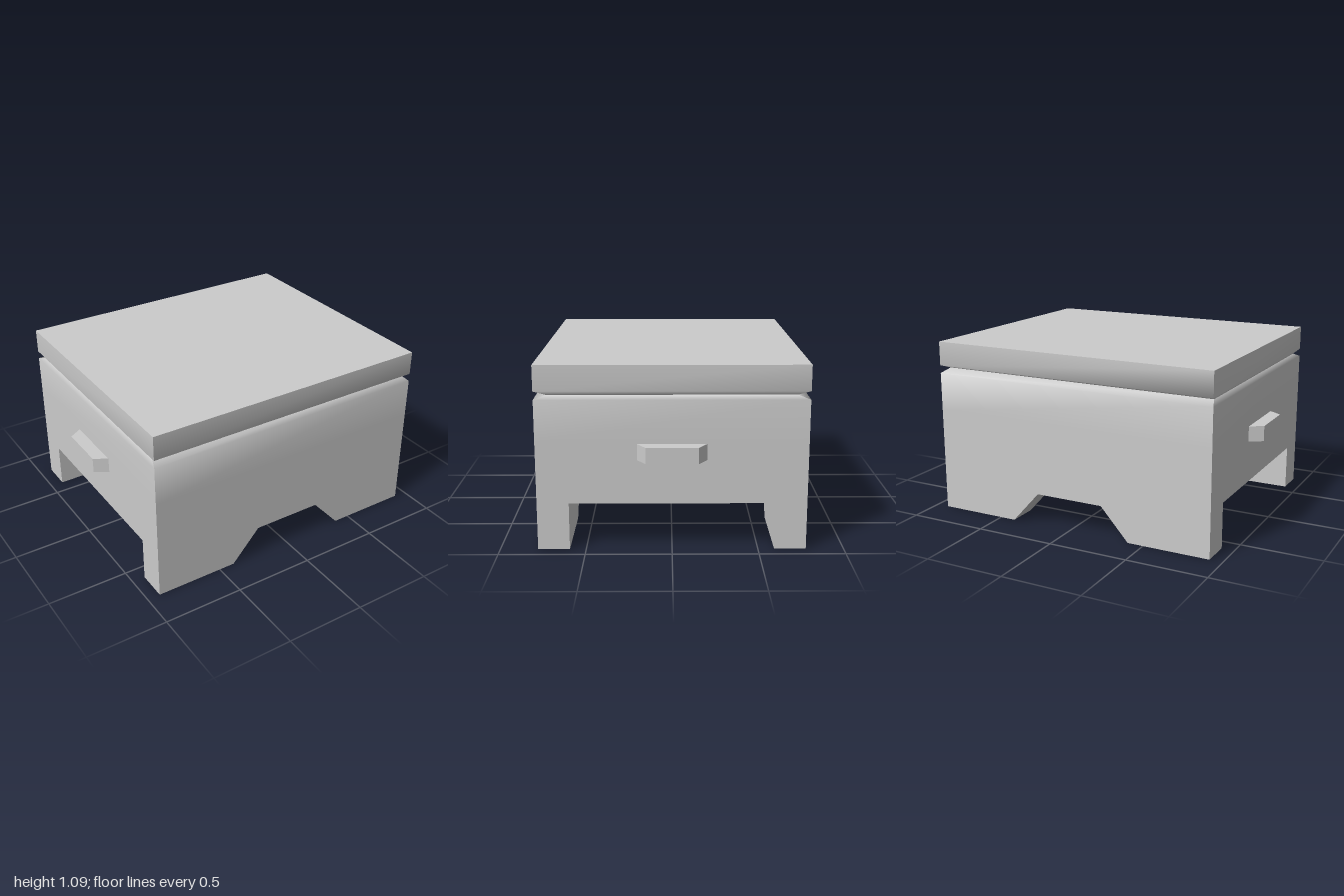
import * as THREE from 'three';
import { mergeGeometries, toCreasedNormals } from 'three/addons/utils/BufferGeometryUtils.js';

const W = 0.92, D = 0.78;          // half width and half depth of the box
const FLOOR = 0.28, INNER = 0.595; // underside height, inner face of the feet
const material = new THREE.MeshStandardMaterial({ color: 0xcccccc });

function part(name, geometry) {
  const mesh = new THREE.Mesh(geometry, material);
  mesh.name = name;
  return mesh;
}

// Four walls lofted through rings [y, halfX, halfZ]; smooth up each wall, sharp at the corners
function walls(rings) {
  const corners = [[-1, 1], [1, 1], [1, -1], [-1, -1]];
  const sides = corners.map((from, k) => {
    const to = corners[(k + 1) % 4];
    const positions = [], index = [];
    rings.forEach(([y, hx, hz], i) => {
      for (const [sx, sz] of [from, to]) positions.push(sx * hx, y, sz * hz);
      if (i < rings.length - 1) {
        const a = 2 * i;
        index.push(a, a + 1, a + 3, a, a + 3, a + 2);
      }
    });
    const geometry = new THREE.BufferGeometry();
    geometry.setAttribute('position', new THREE.Float32BufferAttribute(positions, 3));
    geometry.setIndex(index);
    geometry.computeVertexNormals();
    return geometry;
  });
  return mergeGeometries(sides);
}

function extrude(points, depth) {
  const shape = new THREE.Shape(points.map(([x, y]) => new THREE.Vector2(x, y)));
  return new THREE.ExtrudeGeometry(shape, { depth, bevelEnabled: false });
}

export function createModel() {
  const model = new THREE.Group();
  model.name = 'storageBox';

  // Body and lid meet at the bottom of a V groove
  const groove = [0.915, W - 0.025, D - 0.07];
  model.add(part('body', walls([[FLOOR, W, D], [0.65, W, D], [0.89, W, D], groove])));
  model.add(part('lid', walls([groove, [0.94, W, D], [1.09, W, D]])));

  const top = new THREE.PlaneGeometry(2 * W, 2 * D).rotateX(-Math.PI / 2).translate(0, 1.09, 0);
  model.add(part('lidTop', top));

  const underside = new THREE.PlaneGeometry(2 * W, 2 * INNER).rotateX(Math.PI / 2).translate(0, FLOOR, 0);
  model.add(part('underside', underside));

  // Front and back feet: a full-width panel with a trapezoid cut-out
  const footOutline = [
    [-W, 0], [-0.4, 0], [-0.22, 0.2], [0.22, 0.2], [0.4, 0], [W, 0], [W, FLOOR], [-W, FLOOR],
  ];
  const foot = toCreasedNormals(extrude(footOutline, D - INNER).translate(0, 0, INNER), 0.9);

  // Side handles: tapered bars, outline drawn in x and z
  const handleOutline = [[W, -0.2], [1, -0.15], [1, 0.15], [W, 0.2]];
  const handle = extrude(handleOutline, 0.095).rotateX(-Math.PI / 2).translate(0, 0.54, 0);

  for (const [i, turn] of [0, Math.PI].entries()) {
    const feet = part(i ? 'backFeet' : 'frontFeet', foot);
    const grip = part(i ? 'rightHandle' : 'leftHandle', handle);
    feet.rotation.y = grip.rotation.y = turn;
    model.add(feet, grip);
  }
  return model;
}
